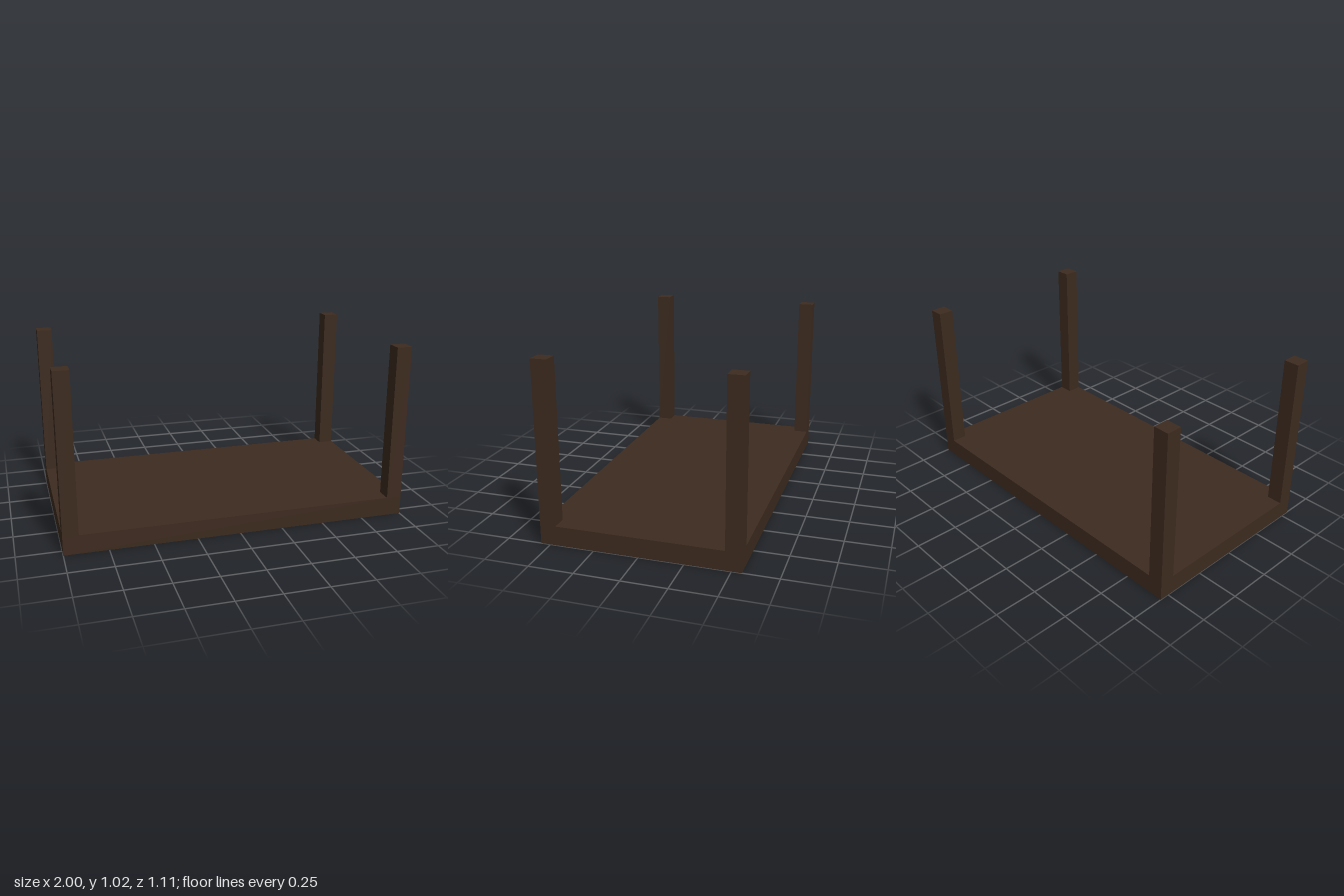
import * as THREE from 'three';

export function createModel() {
  const model = new THREE.Group();
  model.name = 'upturnedTable';
  const darkWood = new THREE.MeshStandardMaterial({ color: 0x3d2b1f });
  darkWood.name = 'darkWood';

  const width = 2, depth = 1.11, slab = 0.11, height = 1.022, leg = 0.089;

  const addBox = (name, w, h, d, x, y, z) => {
    const mesh = new THREE.Mesh(new THREE.BoxGeometry(w, h, d), darkWood);
    mesh.name = name;
    mesh.position.set(x, y, z);
    model.add(mesh);
  };

  // Flat slab resting on the ground
  addBox('tableTop', width, slab, depth, 0, slab / 2, 0);

  // Square legs standing flush with the corners
  for (const sx of [1, -1]) {
    for (const sz of [1, -1]) {
      const name = (sz > 0 ? 'front' : 'back') + (sx > 0 ? 'Left' : 'Right') + 'Leg';
      addBox(name, leg, height - slab, leg,
        sx * (width - leg) / 2, (height + slab) / 2, sz * (depth - leg) / 2);
    }
  }
  return model;
}
